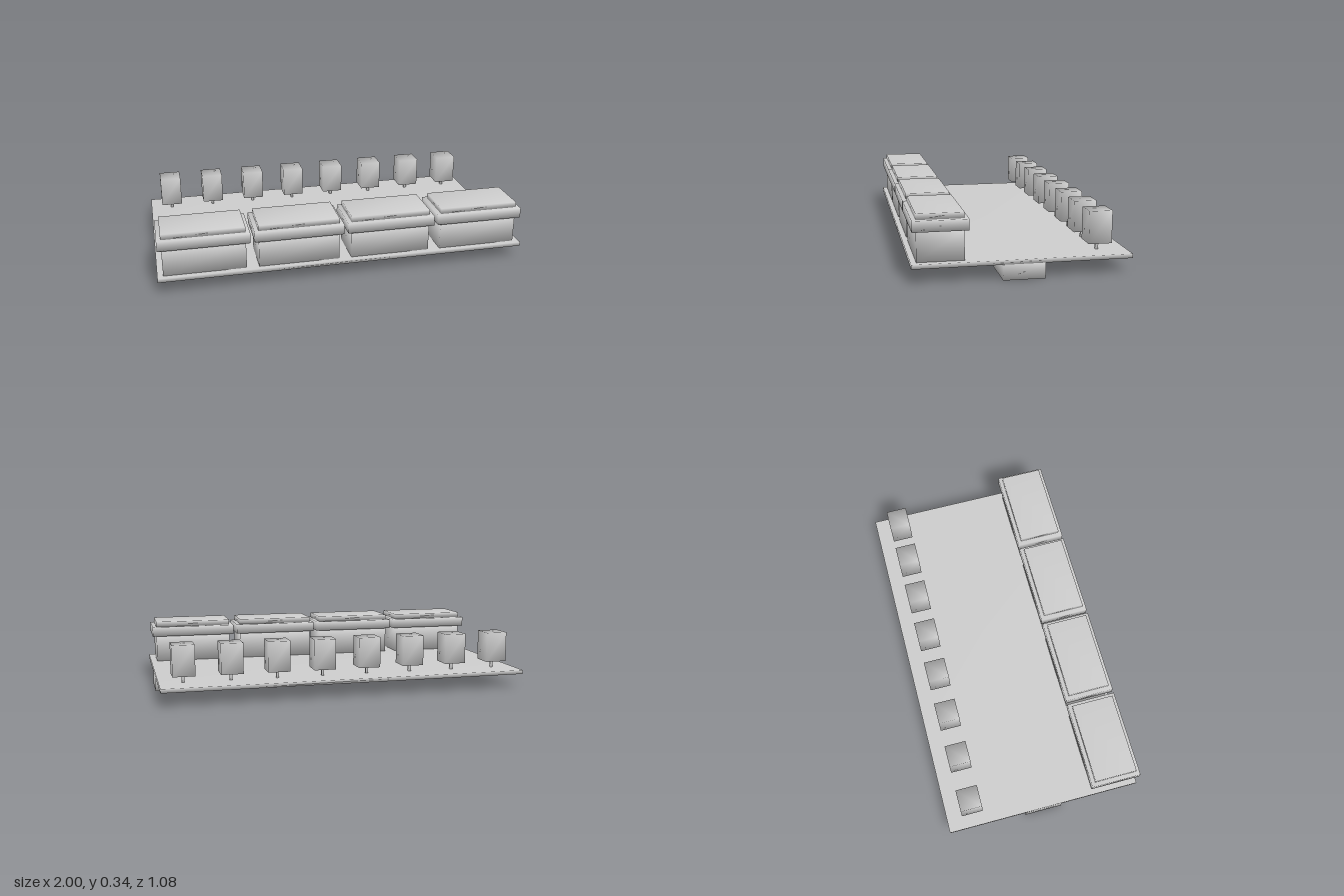
import * as THREE from 'three';
import { mergeVertices } from 'three/addons/utils/BufferGeometryUtils.js';

const grey = new THREE.MeshStandardMaterial({ color: 0xcccccc });
grey.name = 'grey';

// Box with shared corners, so its shading runs smoothly over the edges
function softBox(w, h, d) {
  const box = new THREE.BoxGeometry(w, h, d);
  box.deleteAttribute('normal');
  box.deleteAttribute('uv');
  const geometry = mergeVertices(box);
  geometry.computeVertexNormals();
  return geometry;
}

// Adds a box given by its centre in x and z and its bottom and top heights
function addBox(parent, name, w, d, y0, y1, x = 0, z = 0) {
  const mesh = new THREE.Mesh(softBox(w, y1 - y0, d), grey);
  mesh.name = name;
  mesh.position.set(x, (y0 + y1) / 2, z);
  parent.add(mesh);
}

export function createModel() {
  const model = new THREE.Group();
  model.name = 'platformWithBlocks';

  // Deck on a long central beam
  addBox(model, 'beam', 2, 0.208, 0, 0.078);
  addBox(model, 'deck', 2, 1.084, 0.078, 0.1);

  // Front row: four blocks, each with a wide rim and a raised lid
  for (let i = 0; i < 4; i++) {
    const block = new THREE.Group();
    block.name = 'frontBlock';
    block.position.set(-0.752 + i * 0.5, 0, 0.399);
    addBox(block, 'blockBody', 0.434, 0.231, 0.1, 0.25);
    addBox(block, 'blockRim', 0.478, 0.272, 0.25, 0.305);
    addBox(block, 'blockLid', 0.434, 0.231, 0.305, 0.335);
    model.add(block);
  }

  // Back row: eight seats on thin stems
  for (let i = 0; i < 8; i++) {
    const seat = new THREE.Group();
    seat.name = 'backSeat';
    seat.position.set(-0.876 + i * 0.25, 0, -0.397);
    addBox(seat, 'seatStem', 0.014, 0.014, 0.1, 0.14);
    addBox(seat, 'seatBlock', 0.118, 0.118, 0.14, 0.305);
    model.add(seat);
  }

  return model;
}
